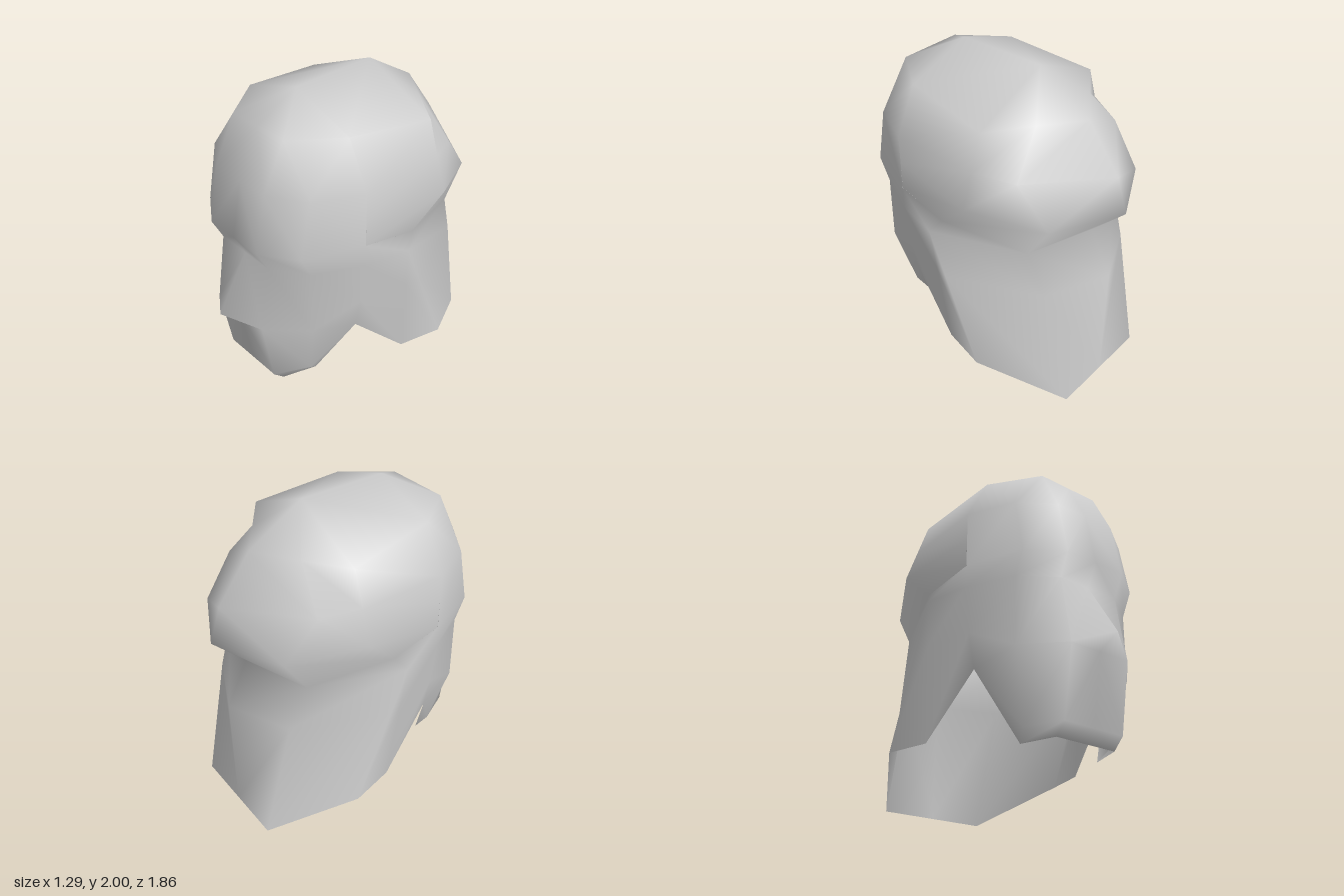
import * as THREE from 'three';
import { mergeVertices } from 'three/addons/utils/BufferGeometryUtils.js';

const U = 1 / 14; // modelling grid unit
const mirror = (col) => col.map((p) => p && [-p[0], p[1], p[2]]);

// Quads between neighbouring columns (points run downward); null points leave a gap.
// flip chooses the other diagonal.
function skin(columns, closed, flip) {
  const tris = [];
  const n = columns.length;
  for (let c = 0; c < (closed ? n : n - 1); c++) {
    const A = columns[c], B = columns[(c + 1) % n];
    // keep the diagonals symmetric on the mirrored half
    const other = flip === (c < (closed ? n : n - 1) / 2);
    for (let r = 0; r < A.length - 1; r++) {
      const q = [A[r], A[r + 1], B[r + 1], B[r]];
      if (!q.every((p) => p)) continue;
      if (other) tris.push([q[0], q[1], q[3]], [q[1], q[2], q[3]]);
      else tris.push([q[0], q[1], q[2]], [q[0], q[2], q[3]]);
    }
  }
  return tris;
}

// Shared-vertex geometry with smooth normals; collapsed triangles are dropped
function smooth(tris) {
  const same = (a, b) => a.every((v, i) => v === b[i]);
  const good = tris.filter(([a, b, c]) => !same(a, b) && !same(b, c) && !same(a, c));
  const g = new THREE.BufferGeometry();
  g.setAttribute('position', new THREE.Float32BufferAttribute(good.flat(2).map((v) => v * U), 3));
  const merged = mergeVertices(g, 1e-4);
  merged.computeVertexNormals();
  return merged;
}

export function createModel() {
  const group = new THREE.Group();
  const grey = new THREE.MeshStandardMaterial({ color: 0xcccccc, side: THREE.DoubleSide });
  grey.name = 'light grey';

  const top = [0, 28, 4], crown = [0, 28, -4];
  // Points where the cap's lower edge meets the neck guard
  const edgeSide = [8.4, 16.2, -1], edgeCorner = [6, 15, -8], edgeBack = [0, 15, -10];
  const N = null;

  // Centre line of the face, with the nose wedge standing out
  const centre = [top, [0, 26, 8], [0, 22, 10], [0, 17, 11], [0, 15, 10],
    [0, 10, 13], [0, 9, 11], [0, 3, 10], [0, 2, 9]];
  // Face and neck guard: half columns from the front round to the back
  const half = [
    [top, [3, 26, 8], [3, 22, 10], [3, 17, 11], [3, 15, 10], [3, 9, 11], [3, 9, 11], [3, 3, 10], [3, 2, 9]],
    [top, [6, 26, 4], [6, 22, 8], [6, 17, 9], [6, 15, 8], [6, 9, 8], [6, 9, 8], [4.5, 3, 7], [4, 2, 6]],
    [top, [6, 26, 4], [8, 22, 4], [8, 17, 4], [8, 15, 4], [7.6, 11, 4], [7.6, 11, 4], [7, 8, 4], [7, 8, 4]],
    [N, N, N, edgeSide, [9, 15, 0], [8.67, 11, -0.33], [8.67, 11, -0.33], [8, 3, -1], [8, 3, -1]],
    [N, N, N, edgeSide, [9, 15, 0], [9, 11, -1.67], [9, 11, -1.67], [9, 3, -5], [9, 3, -5]],
    [N, N, N, edgeCorner, edgeCorner, [5.5, 11, -9.5], [5.5, 11, -9.5], [5, 0, -12], [5, 0, -12]],
  ];
  const back = [N, N, N, edgeBack, edgeBack, [0, 11, -12], [0, 11, -12], [0, 0, -12], [0, 0, -12]];
  const face = skin([centre, ...half, back, ...half.map(mirror).reverse()], true, false);

  // Overhanging cap round the sides and back, creased against the face at its lower front edge
  const capHalf = [
    [top, [6, 26, 4], [8, 22, 4], [8, 19.5, 4], [8, 17, 3.98]],
    [crown, [7, 25, -4], [8, 22, -4], [9, 19, -4], edgeSide],
    [crown, [3.5, 25, -6.5], [6.5, 21.5, -7.2], [6, 18, -10], edgeCorner],
  ];
  const capBack = [crown, [0, 25, -9], [0, 21, -12], [0, 18, -13], edgeBack];
  const cap = skin([...capHalf, capBack, ...capHalf.map(mirror).reverse()], false, true);

  // One shell, so shading runs smoothly over the top of the head
  const shell = new THREE.Mesh(smooth([...face, ...cap]), grey);
  shell.name = 'headShell';
  group.add(shell);

  return group;
}
